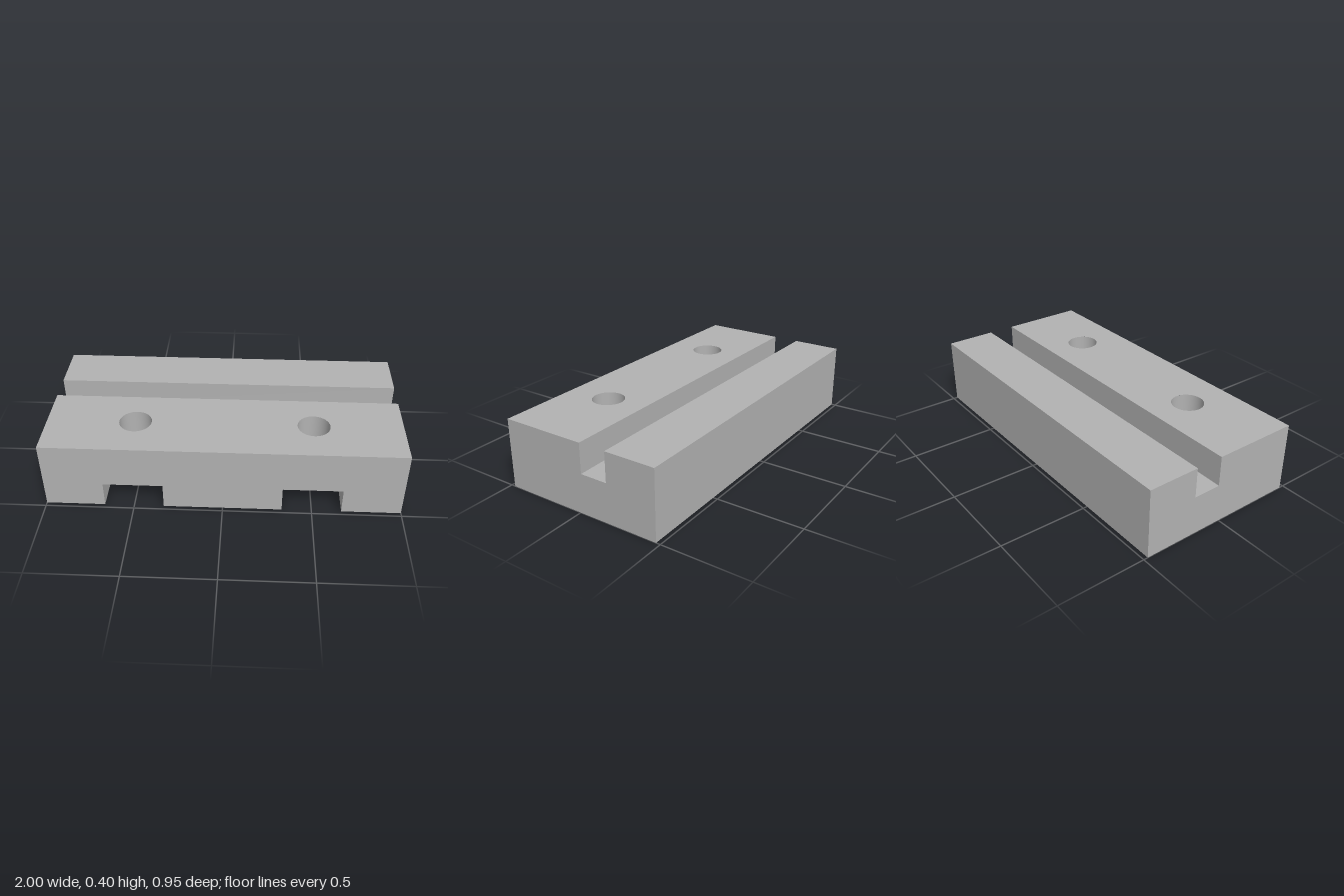
import * as THREE from 'three';
import { mergeGeometries } from 'three/addons/utils/BufferGeometryUtils.js';

const H = 0.4, D = 0.475;                      // block height, half depth
const G0 = -0.18, G1 = -0.02, GY = 0.228;      // groove back, front, floor
const Z = 0.218, R = 0.0915, P = 0.167;        // hole centre, hole radius, pocket radius
const Y1 = 0.15, Y2 = 0.161, Y3 = 0.172;       // pocket ceiling and its two shallow steps
const XS = [-0.5, 0.5];
const A = Math.asin(R / P), W = P * Math.cos(A);

// Turn a surface inside out
function flip(g) {
  const a = g.index.array;
  for (let i = 0; i < a.length; i += 3) [a[i], a[i + 1]] = [a[i + 1], a[i]];
  const n = g.attributes.normal.array;
  for (let i = 0; i < n.length; i++) n[i] = -n[i];
  return g;
}

const poly = (pts) => new THREE.Shape(pts.map(([x, y]) => new THREE.Vector2(x, y)));
const rect = (x0, z0, x1, z1) => poly([[x0, z0], [x1, z0], [x1, z1], [x0, z1]]);

// Level face, drawn in x and z
function level(shape, y, up) {
  const g = new THREE.ShapeGeometry(shape, 32).rotateX(Math.PI / 2).translate(0, y, 0);
  return up ? flip(g) : g;
}

// Upright face between two plan points, listed left to right as seen from outside
function wall(x0, z0, x1, z1, y0, y1) {
  return new THREE.PlaneGeometry(Math.hypot(x1 - x0, z1 - z0), y1 - y0)
    .rotateY(Math.atan2(z0 - z1, x1 - x0))
    .translate((x0 + x1) / 2, (y0 + y1) / 2, (z0 + z1) / 2);
}

// Inward-facing round wall
function bore(x, r, y0, y1, start = 0, sweep = Math.PI * 2) {
  const n = Math.max(6, Math.round(sweep * 8));
  return flip(new THREE.CylinderGeometry(r, r, y1 - y0, n, 1, true, start, sweep)
    .translate(x, (y0 + y1) / 2, Z));
}

function addHole(shape, x) {
  shape.holes.push(new THREE.Path().absarc(x, Z, R, 0, Math.PI * 2, true));
  return shape;
}

function endFace(side) {
  const profile = [[-D, 0], [D, 0], [D, H], [G1, H], [G1, GY], [G0, GY], [G0, H], [-D, H]];
  return new THREE.ShapeGeometry(poly(profile.map(([z, y]) => [-side * z, y])))
    .rotateY(side * Math.PI / 2).translate(side, 0, 0);
}

function outerFaces() {
  const front = new THREE.Shape().moveTo(-1, 0);
  const bottom = new THREE.Shape().moveTo(-1, -D).lineTo(-1, D);
  for (const x of XS) {
    front.lineTo(x - P, 0).lineTo(x - P, Y1).lineTo(x + P, Y1).lineTo(x + P, 0);
    bottom.lineTo(x - P, D).lineTo(x - P, Z);
    bottom.absarc(x, Z, P, Math.PI, Math.PI * 2, false).lineTo(x + P, D);
  }
  front.lineTo(1, 0).lineTo(1, H).lineTo(-1, H);
  bottom.lineTo(1, D).lineTo(1, -D);
  const top = rect(-1, G1, 1, D);
  XS.forEach((x) => addHole(top, x));
  return [
    new THREE.ShapeGeometry(front).translate(0, 0, D),
    level(bottom, 0, false),
    level(top, H, true),
    level(rect(-1, -D, 1, G0), H, true),
    wall(1, -D, -1, -D, 0, H),
    endFace(1), endFace(-1),
  ];
}

function grooveFaces() {
  return [
    level(rect(-1, G0, 1, G1), GY, true),
    wall(-1, G0, 1, G0, GY, H),
    wall(1, G1, -1, G1, GY, H),
  ];
}

// Round-ended pocket with a stepped ceiling
function pocketFaces(x) {
  const q = Math.PI / 2;
  const backCeiling = new THREE.Shape().absarc(x, Z, P, Math.PI + A, Math.PI * 2 - A, false);
  const faces = [
    bore(x, P, 0, Y1, q, Math.PI),
    wall(x + P, Z, x + P, D, 0, Y1),
    wall(x - P, D, x - P, Z, 0, Y1),
    level(rect(x - P, Z + R, x + P, D), Y1, false),
    level(backCeiling, Y1, false),
    // first step: a slot across the pocket
    wall(x + P, Z + R, x - P, Z + R, Y1, Y2),
    wall(x - W, Z - R, x + W, Z - R, Y1, Y2),
    wall(x + P, Z, x + P, Z + R, Y1, Y2),
    wall(x - P, Z + R, x - P, Z, Y1, Y2),
    bore(x, P, Y1, Y2, q, A),
    bore(x, P, Y1, Y2, 3 * q - A, A),
    // second step: a square around the hole
    wall(x + R, Z + R, x - R, Z + R, Y2, Y3),
    wall(x - R, Z - R, x + R, Z - R, Y2, Y3),
    wall(x + R, Z - R, x + R, Z + R, Y2, Y3),
    wall(x - R, Z + R, x - R, Z - R, Y2, Y3),
    level(addHole(rect(x - R, Z - R, x + R, Z + R), x), Y3, false),
  ];
  // slot ceiling either side of the square
  const right = new THREE.Shape().moveTo(x + R, Z - R);
  right.absarc(x, Z, P, -A, 0, false).lineTo(x + P, Z + R).lineTo(x + R, Z + R);
  const left = new THREE.Shape().moveTo(x - R, Z + R).lineTo(x - P, Z + R);
  left.absarc(x, Z, P, Math.PI, Math.PI + A, false).lineTo(x - R, Z - R);
  faces.push(level(right, Y2, false), level(left, Y2, false));
  return faces;
}

export function createModel() {
  const group = new THREE.Group();
  group.name = 'groovedBlock';
  const grey = new THREE.MeshStandardMaterial({ color: 0xb2b2b2 });
  grey.name = 'grey';
  const add = (name, faces) => {
    const mesh = new THREE.Mesh(mergeGeometries(faces), grey);
    mesh.name = name;
    group.add(mesh);
  };
  add('blockBody', outerFaces());
  add('topGroove', grooveFaces());
  XS.forEach((x, i) => {
    const side = i ? 'left' : 'right';
    add(side + 'Pocket', pocketFaces(x));
    add(side + 'ScrewHole', [bore(x, R, Y3, H)]);
  });
  return group;
}
